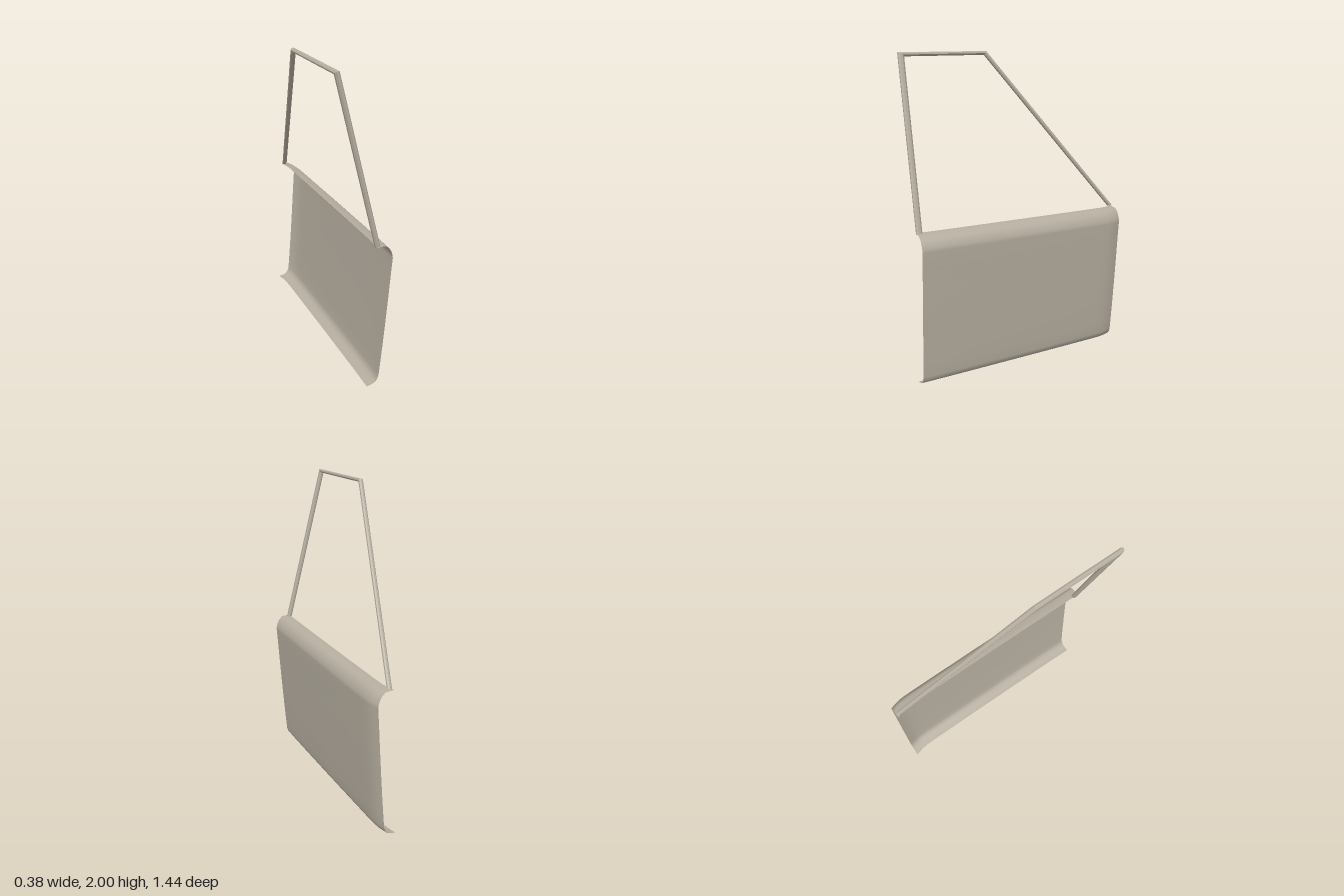
import * as THREE from 'three';

// Lofts a grid of points (rows of equal length) into a surface
function loft(rows, capped = false) {
  const n = rows[0].length, index = [];
  for (let i = 0; i < rows.length - 1; i++) {
    for (let j = 0; j < n - 1; j++) {
      const a = i * n + j, b = a + n;
      index.push(a, a + 1, b, a + 1, b + 1, b);
    }
  }
  if (capped) {
    const last = (rows.length - 1) * n;
    for (let j = 1; j < n - 2; j++) {
      index.push(0, j + 1, j, last, last + j, last + j + 1);
    }
  }
  const geo = new THREE.BufferGeometry().setFromPoints(rows.flat());
  geo.setIndex(index);
  geo.computeVertexNormals();
  return geo;
}

export function createModel() {
  const paint = new THREE.MeshStandardMaterial({ color: 0xb6aea0, side: THREE.DoubleSide });
  const barPaint = paint;
  const door = new THREE.Group();
  door.name = 'door';

  // Door skin: bottom flange, bowed side, rounded shoulder and top lip (x, y)
  const profile = [
    [0.05, 0], [0.085, 0.006], [0.108, 0.017], [0.122, 0.035], [0.13, 0.06],
    [0.137, 0.14], [0.148, 0.28], [0.160, 0.45], [0.171, 0.62], [0.180, 0.77],
    [0.187, 0.87], [0.185, 0.89], [0.176, 0.917], [0.161, 0.942], [0.14, 0.96], [0.085, 0.964],
  ];
  // Stations along the door (z, sideways shift); the rear edge tucks inward
  const stations = [
    [-0.72, -0.021], [-0.69, -0.012], [-0.66, -0.005], [-0.62, 0], [-0.55, 0.001],
    [-0.3, 0], [0, -0.002], [0.3, -0.005], [0.55, -0.008], [0.72, -0.012],
  ];
  const skinRows = stations.map(([z, dx]) => profile.map(([x, y]) =>
    new THREE.Vector3(x + dx, y * (1 + 0.0125 * z), z)));
  const skin = new THREE.Mesh(loft(skinRows), paint);
  skin.name = 'doorPanel';
  door.add(skin);

  // Window frame: eight-sided bar, mitred at the corners, in a leaning plane
  const lean = new THREE.Vector3(-0.246, 0.969, 0);
  const normal = new THREE.Vector3(0.969, 0.246, 0);
  // Corner position, then half-width of the bar along z and up the lean
  const corners = [
    [0.083, 0.965, 0.698, 0.018, 0],
    [-0.175, 1.985, 0.668, 0.018, 0.011],
    [-0.175, 1.985, 0.115, -0.007, 0.011],
    [0.085, 0.962, -0.7, -0.015, 0],
  ];
  const frameRows = corners.map(([x, y, z, wz, wl]) => {
    const ring = [];
    for (let k = 0; k <= 8; k++) {
      const a = (k + 0.5) / 8 * Math.PI * 2;
      const c = Math.cos(a) * 1.08, s = Math.sin(a) * 0.0155;
      ring.push(new THREE.Vector3(x, y, z + wz * c)
        .addScaledVector(lean, wl * c).addScaledVector(normal, s));
    }
    return ring;
  });
  const frameGeo = loft(frameRows, true).toNonIndexed();
  frameGeo.computeVertexNormals();
  const frame = new THREE.Mesh(frameGeo, barPaint);
  frame.name = 'windowFrame';
  door.add(frame);

  return door;
}
